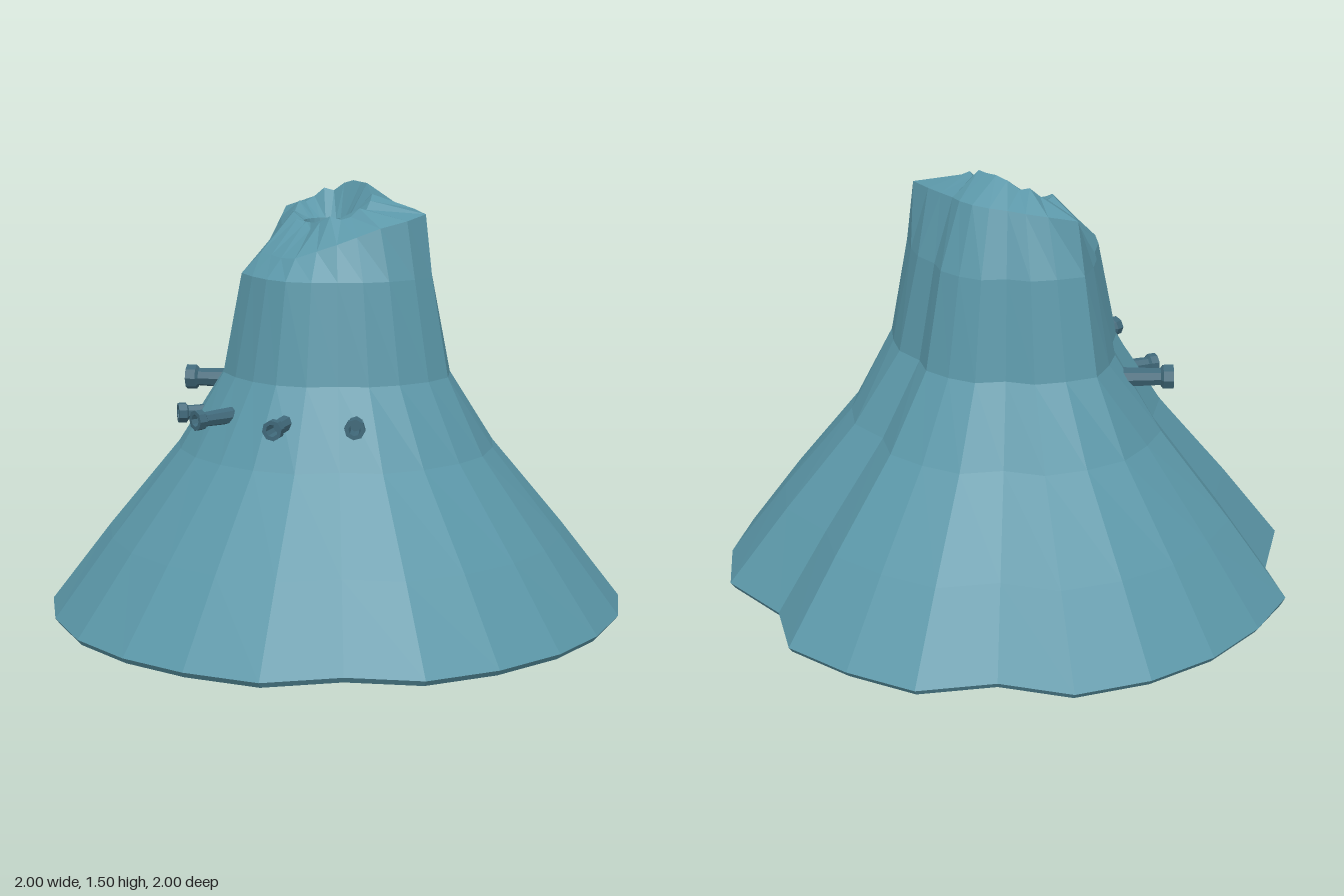
import * as THREE from 'three';

// base outline, x and z, clockwise from the back
const BASE = [
  [0.07, -1], [0.28, -0.86], [0.57, -0.83], [0.76, -0.66], [0.9, -0.44], [0.98, -0.21],
  [1, 0.06], [0.95, 0.32], [0.77, 0.51], [0.66, 0.76], [0.43, 0.9], [0.19, 0.98],
  [-0.07, 1], [-0.33, 0.94], [-0.56, 0.82], [-0.72, 0.56], [-0.91, 0.43], [-0.98, 0.19],
  [-1, -0.07], [-0.95, -0.33], [-0.83, -0.57], [-0.6, -0.69], [-0.44, -0.91], [-0.19, -0.98],
];
// summit rim radius in the direction of each base point
const RIM = [
  0.23, 0.22, 0.24, 0.28, 0.35, 0.33, 0.29, 0.26, 0.25, 0.25, 0.27, 0.26,
  0.25, 0.26, 0.22, 0.21, 0.21, 0.26, 0.33, 0.27, 0.24, 0.22, 0.23, 0.235,
];

// wall ring: a blend of the base outline and the rim outline
function wallRing(y, base, rim, inset = 0) {
  return BASE.map(([x, z], i) => {
    const len = Math.hypot(x, z);
    const r = len * base + RIM[i] * rim - inset;
    return [x / len * r, y, z / len * r];
  });
}

function rimRing(scale, drop) {
  return wallRing(0, 0, scale).map(([x, , z]) =>
    [x, 1.38 - 0.2 * z - Math.max(z, 0) * 0.25 - drop, z]);
}

// rugged crest, notched at the front
function crestRing() {
  return BASE.map(([x, z], i) => {
    const len = Math.hypot(x, z);
    const px = x / len * 0.17, pz = z / len * 0.115 + 0.01;
    const notch = Math.abs(x) < 0.2 && z > 0 ? 0.04 : 0;
    return [px, 1.45 - 0.45 * pz + 0.012 * Math.sin(i * 2.3) - Math.abs(px) * 0.15 - notch, pz];
  });
}

function throatRing(y, r) {
  return BASE.map(([x, z]) => {
    const len = Math.hypot(x, z);
    return [x / len * r - 0.01, y, z / len * r + 0.03];
  });
}

function loft(rings) {
  const n = BASE.length, index = [];
  for (let r = 0; r < rings.length - 1; r++) {
    for (let i = 0; i < n; i++) {
      const j = (i + 1) % n;
      const a = r * n + i, b = r * n + j, c = a + n, d = b + n;
      index.push(a, b, c, b, d, c);
    }
  }
  const g = new THREE.BufferGeometry();
  g.setAttribute('position', new THREE.Float32BufferAttribute(rings.flat(2), 3));
  g.setIndex(index);
  g.computeVertexNormals();
  return g;
}

export function createModel() {
  const model = new THREE.Group();
  const rock = new THREE.MeshStandardMaterial({ color: 0x5b97a8, flatShading: true });
  rock.name = 'blue grey rock';
  const iron = new THREE.MeshStandardMaterial({ color: 0x40697a, flatShading: true, side: THREE.DoubleSide });
  iron.name = 'dark blue iron';

  // hollow mountain: throat, crest, rim, outer wall, foot, inner wall and back to the throat
  const levels = [[1.2, 0.2, 0.5], [0.86, 0.28, 0.45], [0.6, 0.5, 0.2], [0.3, 0.77, 0.1]];
  const rings = [
    throatRing(1.28, 0.065), throatRing(1.37, 0.075), crestRing(), rimRing(1, 0),
    ...levels.map(([y, b, r]) => wallRing(y, b, r)),
    wallRing(0.03, 1, 0),
    wallRing(0.01, 0.985, 0).map(([x, y, z]) => [x, x < -0.5 && z > 0.4 ? 0 : y, z]),
    wallRing(0.015, 0.96, 0),
    ...levels.map(([y, b, r]) => wallRing(y - 0.01, b, r, 0.03)).reverse(),
    rimRing(0.88, 0.08), throatRing(1.28, 0.065),
  ];
  const mountain = new THREE.Mesh(loft(rings), rock);
  mountain.name = 'mountain';
  model.add(mountain);

  // cannons poking through the wall
  const profile = [
    [0, -0.17], [0.024, -0.17], [0.029, -0.14], [0.025, -0.035], [0.035, -0.028],
    [0.035, 0], [0.021, 0], [0.018, -0.06], [0, -0.06],
  ].map(([r, y]) => new THREE.Vector2(r, y));
  const barrel = new THREE.LatheGeometry(profile, 8);
  // muzzle x, y, z, direction x, z, scale
  const cannons = [
    [-0.485, 0.78, 0.3, -0.7, 0.7, 1.25],
    [-0.25, 0.71, 0.485, -0.4, 0.9, 1],
    [0.035, 0.745, 0.595, 0.03, 1, 1],
    [0.315, 0.745, 0.475, 0.55, 0.8, 1],
    [0.46, 0.745, 0.245, 0.78, 0.62, 1],
  ];
  const up = new THREE.Vector3(0, 1, 0);
  cannons.forEach(([x, y, z, dx, dz, s], i) => {
    const cannon = new THREE.Mesh(barrel, iron);
    cannon.name = `cannon${i + 1}`;
    cannon.position.set(x, y, z);
    cannon.quaternion.setFromUnitVectors(up, new THREE.Vector3(dx, 0, dz).normalize());
    cannon.scale.setScalar(s);
    model.add(cannon);
  });
  return model;
}
